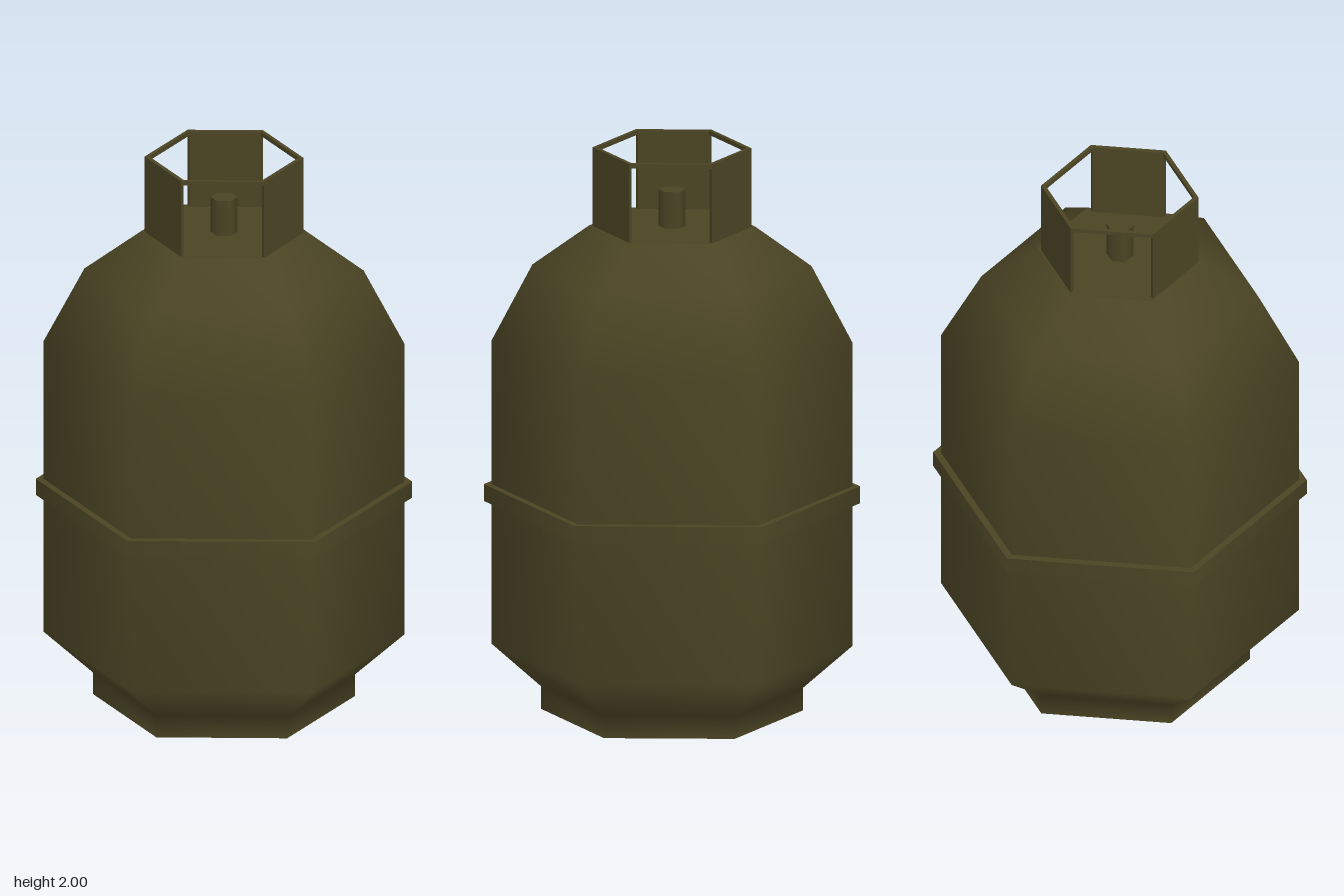
import * as THREE from 'three';

export function createModel() {
  const model = new THREE.Group();
  const olive = new THREE.MeshStandardMaterial({ color: 0x4b4424 });
  olive.name = 'olive paint';

  const add = (name, geometry, y = 0) => {
    const mesh = new THREE.Mesh(geometry, olive);
    mesh.name = name;
    mesh.position.y = y;
    model.add(mesh);
    return mesh;
  };

  // Six-sided tank with smooth normals: foot, belly and shoulders
  const profile = [
    [0.45, 0], [0.45, 0.08], [0.62, 0.23], [0.62, 1.31], [0.48, 1.58], [0.285, 1.72],
  ].map(([r, y]) => new THREE.Vector2(r, y));
  add('tank', new THREE.LatheGeometry(profile, 6));

  // Flat ends of the tank, with a corner on the z axis
  const disc = (r, tilt) =>
    new THREE.CircleGeometry(r, 6, Math.PI / 2).rotateX(tilt);
  add('tankTop', disc(0.285, -Math.PI / 2), 1.72);
  add('tankBottom', disc(0.45, Math.PI / 2), 0);

  // Weld band round the middle
  add('weldBand', new THREE.CylinderGeometry(0.647, 0.647, 0.06, 6), 0.768);

  // Valve
  add('valve', new THREE.CylinderGeometry(0.046, 0.046, 0.13, 6), 1.785);

  // Collar: three solid guard panels alternating with openings under a thin rim
  const collar = new THREE.Group();
  collar.name = 'collar';
  model.add(collar);

  const corners = [];
  for (let k = 0; k < 3; k++) {
    for (const side of [-0.13, 0.13]) {
      corners.push(new THREE.Vector2(0.24, side)
        .rotateAround(new THREE.Vector2(), (k * Math.PI * 2) / 3));
    }
  }
  for (let i = 0; i < 6; i++) {
    const a = corners[i];
    const b = corners[(i + 1) % 6];
    const solid = i % 2 === 0;
    const bottom = solid ? 1.715 : 1.985;
    const shape = new THREE.Shape([
      a, b, b.clone().multiplyScalar(0.94), a.clone().multiplyScalar(0.94),
    ]);
    const wall = new THREE.ExtrudeGeometry(shape, { depth: 2 - bottom, bevelEnabled: false });
    wall.rotateX(-Math.PI / 2);
    const mesh = add(solid ? 'guardPanel' : 'rimBar', wall, bottom);
    collar.add(mesh);
  }

  return model;
}
